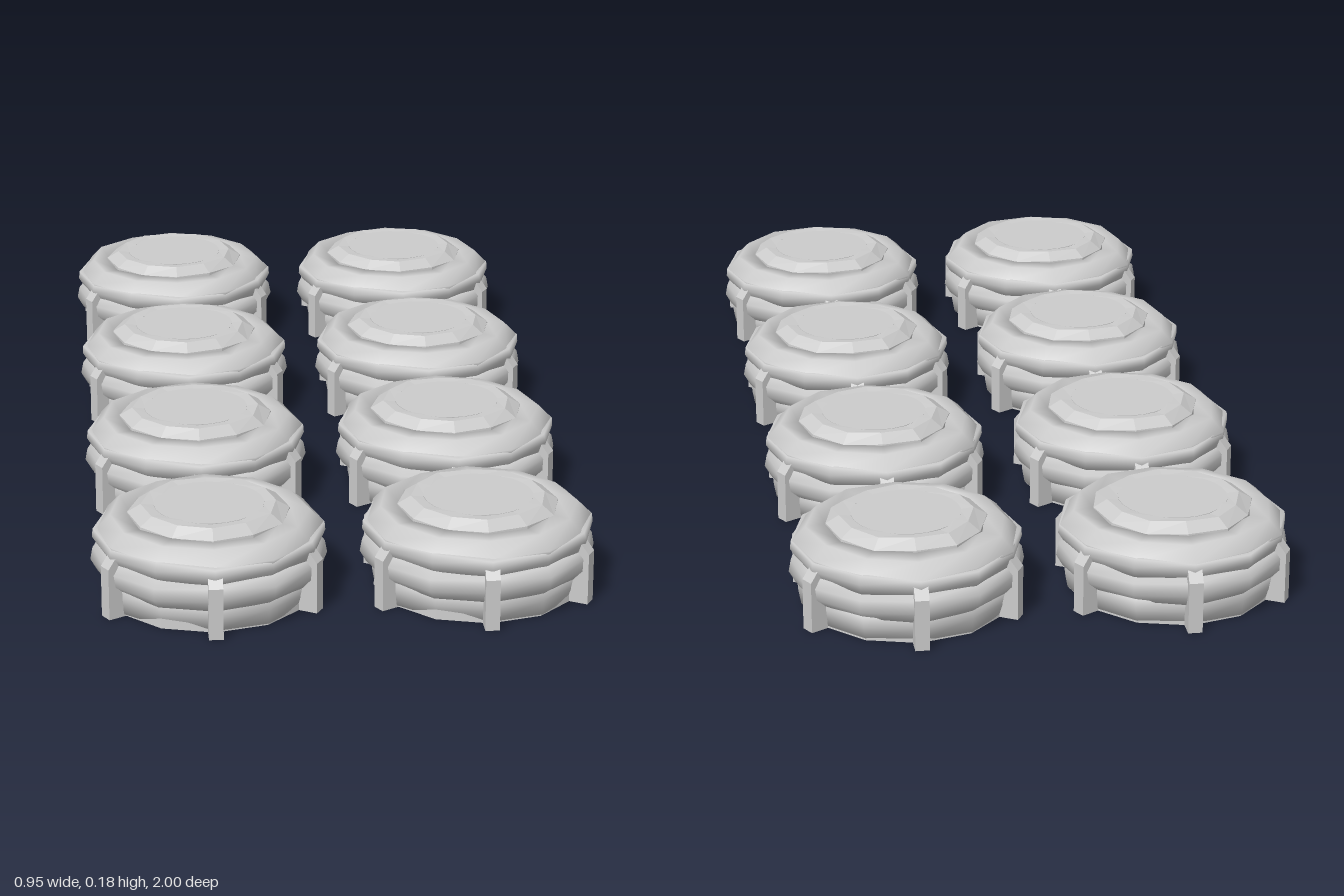
import * as THREE from 'three';

const SIDES = 12;
const mat = new THREE.MeshStandardMaterial({ color: 0xcccccc });
const flatMat = new THREE.MeshStandardMaterial({ color: 0xcccccc, flatShading: true });

function mesh(name, geometry, material) {
  const m = new THREE.Mesh(geometry, material);
  m.name = name;
  return m;
}

// Closed ring swept from an (r, y) cross-section; twist and wobble vary around the circle
function ringGeometry(section, twist, wobble, phase) {
  const n = section.length, pos = [], idx = [];
  const cr = section.reduce((s, p) => s + p[0], 0) / n;
  const cy = section.reduce((s, p) => s + p[1], 0) / n;
  for (let i = 0; i < SIDES; i++) {
    const a = (i / SIDES) * Math.PI * 2;
    const t = twist * Math.sin(i * 2.1 + phase);
    const w = wobble * Math.sin(i * 2.7 + phase * 2);
    for (const [r, y] of section) {
      const dr = r - cr, dy = y - cy;
      const rr = cr + dr * Math.cos(t) - dy * Math.sin(t) + w;
      const yy = Math.max(0.002, cy + dr * Math.sin(t) + dy * Math.cos(t));
      pos.push(rr * Math.sin(a), yy, rr * Math.cos(a));
    }
  }
  for (let i = 0; i < SIDES; i++) {
    for (let j = 0; j < n; j++) {
      const i2 = (i + 1) % SIDES, j2 = (j + 1) % n;
      const a = i * n + j, b = i2 * n + j, c = i2 * n + j2, d = i * n + j2;
      idx.push(a, b, c, a, c, d);
    }
  }
  const g = new THREE.BufferGeometry();
  g.setAttribute('position', new THREE.Float32BufferAttribute(pos, 3));
  g.setIndex(idx);
  g.computeVertexNormals();
  return g;
}

// Upright stake with a chamfered top, facing +z
function stakeGeometry() {
  const profile = [[0.17, 0], [0.23, 0], [0.23, 0.1], [0.206, 0.13], [0.17, 0.13]];
  const shape = new THREE.Shape(profile.map(([r, y]) => new THREE.Vector2(r, y)));
  const width = 0.027;
  const g = new THREE.ExtrudeGeometry(shape, { depth: width, bevelEnabled: false });
  return g.translate(0, 0, -width / 2).rotateY(-Math.PI / 2);
}

// Woven strands, listed from the bottom up: section, twist, wobble
const strands = [
  [[[0.16, 0.003], [0.197, 0.003], [0.202, 0.03], [0.205, 0.062], [0.16, 0.062]], 0.12, 0.003],
  [[[0.17, 0.05], [0.205, 0.046], [0.222, 0.066], [0.222, 0.09], [0.208, 0.106], [0.17, 0.104]], 0.2, 0.002],
  [[[0.17, 0.096], [0.209, 0.098], [0.219, 0.118], [0.216, 0.134], [0.17, 0.14]], 0.15, 0.002],
  [[[0.15, 0.122], [0.21, 0.122], [0.214, 0.134], [0.187, 0.16], [0.15, 0.161]], 0.08, 0.003],
];

function createBasket() {
  const basket = new THREE.Group();
  basket.name = 'basket';

  // Solid core with closed floor
  const core = new THREE.CylinderGeometry(0.19, 0.197, 0.15, SIDES);
  basket.add(mesh('core', core.translate(0, 0.075, 0), flatMat));

  strands.forEach(([section, twist, wobble], k) => {
    basket.add(mesh('wovenStrand', ringGeometry(section, twist, wobble, k * 1.9), mat));
  });

  // Faceted raised rim around the flat lid
  const rim = [[0.095, 0.145], [0.154, 0.145], [0.152, 0.163], [0.127, 0.179], [0.1, 0.177]];
  basket.add(mesh('rim', ringGeometry(rim, 0.05, 0.003, 0.7), flatMat));
  const lid = new THREE.CylinderGeometry(0.104, 0.104, 0.03, 24);
  basket.add(mesh('lid', lid.translate(0, 0.163, 0), flatMat));

  // Six stakes holding the weave
  const stake = stakeGeometry();
  for (let k = 0; k < 6; k++) {
    const s = mesh('stake', stake, flatMat);
    s.rotation.y = (k * Math.PI) / 3;
    basket.add(s);
  }
  return basket;
}

export function createModel() {
  const model = new THREE.Group();
  model.name = 'basketGrid';
  const basket = createBasket();
  // Two columns of four
  for (const x of [-0.254, 0.254]) {
    for (let row = 0; row < 4; row++) {
      const copy = basket.clone();
      copy.position.set(x, 0, -0.77 + row * 0.5133);
      model.add(copy);
    }
  }
  return model;
}
